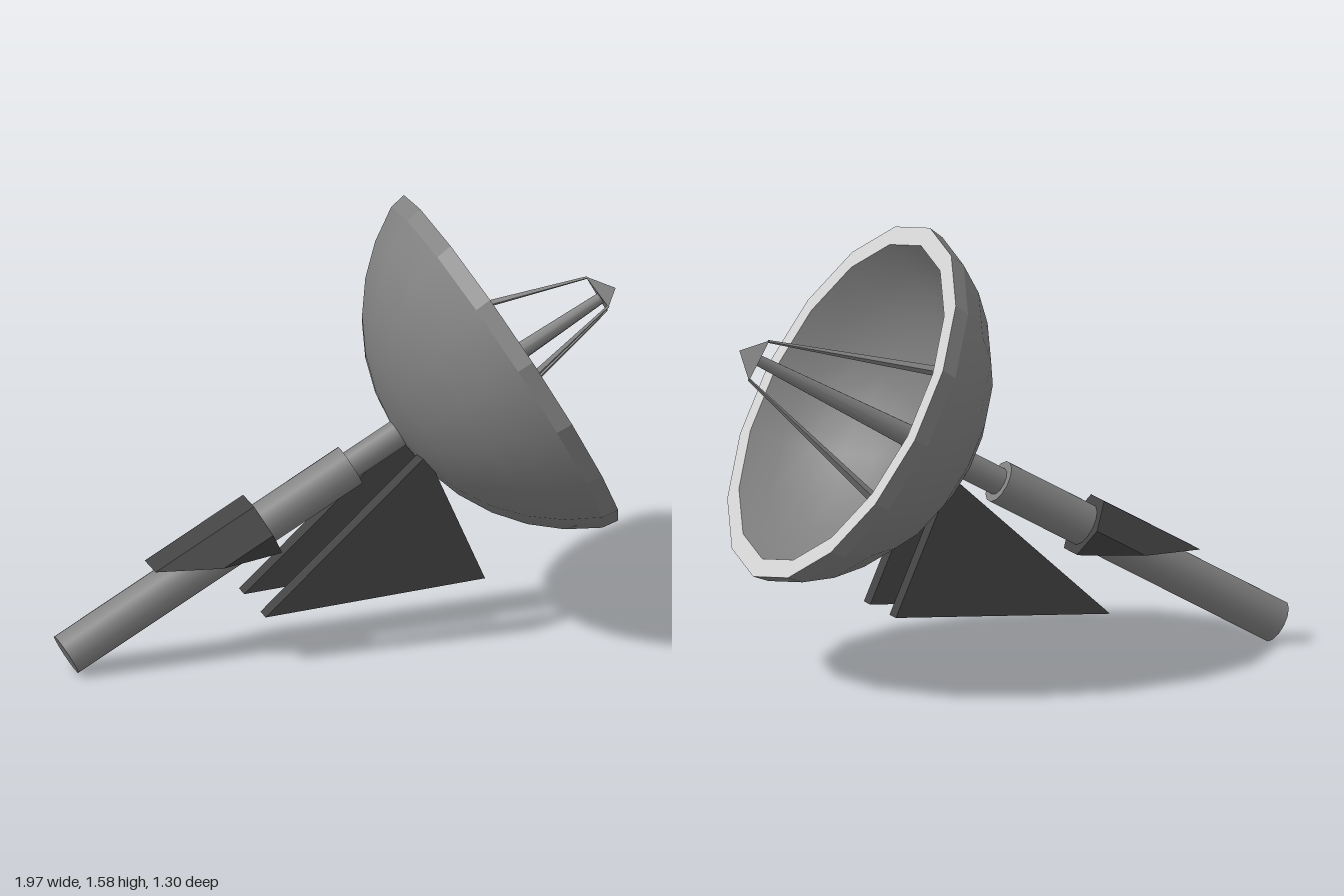
import * as THREE from 'three';

const material = (name, color) => {
  const m = new THREE.MeshStandardMaterial({ color });
  m.name = name;
  return m;
};

export function createModel() {
  const grey = material('mid grey', 0x828282);
  const light = material('light grey', 0xd4d4d4);
  const dark = material('dark grey', 0x434343);

  const model = new THREE.Group();
  model.name = 'dishAntenna';

  // Turned base frame: x runs along the boom's heading, z to its side
  const base = new THREE.Group();
  base.name = 'base';
  base.position.set(-0.955, 0.068, -0.57);
  base.rotation.y = THREE.MathUtils.degToRad(-20);
  model.add(base);

  // Tilted frame: y runs along the boom and dish axis
  const boom = new THREE.Group();
  boom.name = 'boom';
  boom.rotation.z = THREE.MathUtils.degToRad(-60.8);
  base.add(boom);

  const add = (parent, name, geometry, mat) => {
    const mesh = new THREE.Mesh(geometry, mat);
    mesh.name = name;
    parent.add(mesh);
    return mesh;
  };
  const faceted = (geometry) => {
    const g = geometry.index ? geometry.toNonIndexed() : geometry;
    g.computeVertexNormals();
    return g;
  };
  // Round part spanning y0..y1 on the boom axis
  const rod = (y0, y1, r0, r1, sides) =>
    new THREE.CylinderGeometry(r1, r0, y1 - y0, sides).translate(0, (y0 + y1) / 2, 0);
  const lathe = (points) =>
    new THREE.LatheGeometry(points.map(([r, y]) => new THREE.Vector2(r, y)), 16);
  // Spherical bowl profile from the vertex (r = 0) to the edge
  const bowl = (radius, bottom, top, steps, startRadius = 0) => {
    const depth = top - bottom;
    const sphere = (radius * radius + depth * depth) / (2 * depth);
    const a0 = Math.asin(startRadius / sphere);
    const a1 = Math.asin(radius / sphere);
    return Array.from({ length: steps + 1 }, (_, i) => {
      const a = a0 + ((a1 - a0) * i) / steps;
      return [sphere * Math.sin(a), bottom + sphere * (1 - Math.cos(a))];
    });
  };

  // Main tube and thinner neck
  add(boom, 'mainTube', rod(0, 1.2, 0.078, 0.078, 14), grey);
  add(boom, 'neck', rod(1.19, 1.47, 0.05, 0.05, 12), grey);

  // Six-sided sleeve whose lower end is cut level
  const sleeve = new THREE.CylinderGeometry(0.122, 0.122, 1, 6);
  const sp = sleeve.attributes.position;
  for (let i = 0; i < sp.count; i++) {
    sp.setY(i, sp.getY(i) > 0 ? 0.83 : Math.min(0.826, 0.62 + 1.95 * sp.getX(i)));
  }
  add(boom, 'sleeve', faceted(sleeve), dark);

  // Dish: outer shell, rim and inner bowl
  add(boom, 'dishShell', lathe(bowl(0.675, 1.4, 1.82, 6, 0.04)), grey);
  add(boom, 'rimWall', faceted(lathe([[0.675, 1.82], [0.685, 1.88]])), grey);
  add(boom, 'rimFace', faceted(lathe([[0.685, 1.88], [0.615, 1.88]])), light);
  add(boom, 'dishBowl', lathe(bowl(0.615, 1.45, 1.88, 7).reverse()), grey);

  // Feed at the focus
  add(boom, 'feedHub', faceted(rod(1.44, 1.57, 0.115, 0.085, 6)), grey);
  add(boom, 'feedMast', rod(1.45, 2.26, 0.046, 0.02, 10), grey);
  add(boom, 'feedTip', faceted(new THREE.ConeGeometry(0.092, 0.065, 3).translate(0, 2.29, 0)), grey);

  // Three struts from the bowl to the corners of the tip
  const up = new THREE.Vector3(0, 1, 0);
  for (let i = 0; i < 3; i++) {
    const a = (i * Math.PI * 2) / 3;
    const foot = new THREE.Vector3(0.315 * Math.sin(a), 1.59, 0.315 * Math.cos(a));
    const head = new THREE.Vector3(0.086 * Math.sin(a), 2.26, 0.086 * Math.cos(a));
    const dir = head.clone().sub(foot);
    const strut = add(boom, 'strut', faceted(new THREE.CylinderGeometry(0.005, 0.02, dir.length(), 4)), grey);
    strut.position.copy(foot).add(head).multiplyScalar(0.5);
    strut.quaternion.setFromUnitVectors(up, dir.normalize());
  }

  // Pair of triangular support plates either side of the boom
  const plate = new THREE.Shape([
    new THREE.Vector2(0.687, 0.112),
    new THREE.Vector2(1.496, 0.162),
    new THREE.Vector2(1.283, 0.65),
  ]);
  for (const side of [-1, 1]) {
    const g = new THREE.ExtrudeGeometry(plate, { depth: 0.06, bevelEnabled: false });
    add(base, 'supportPlate', g.translate(0, 0, side * 0.12 - 0.03), dark);
  }

  return model;
}
